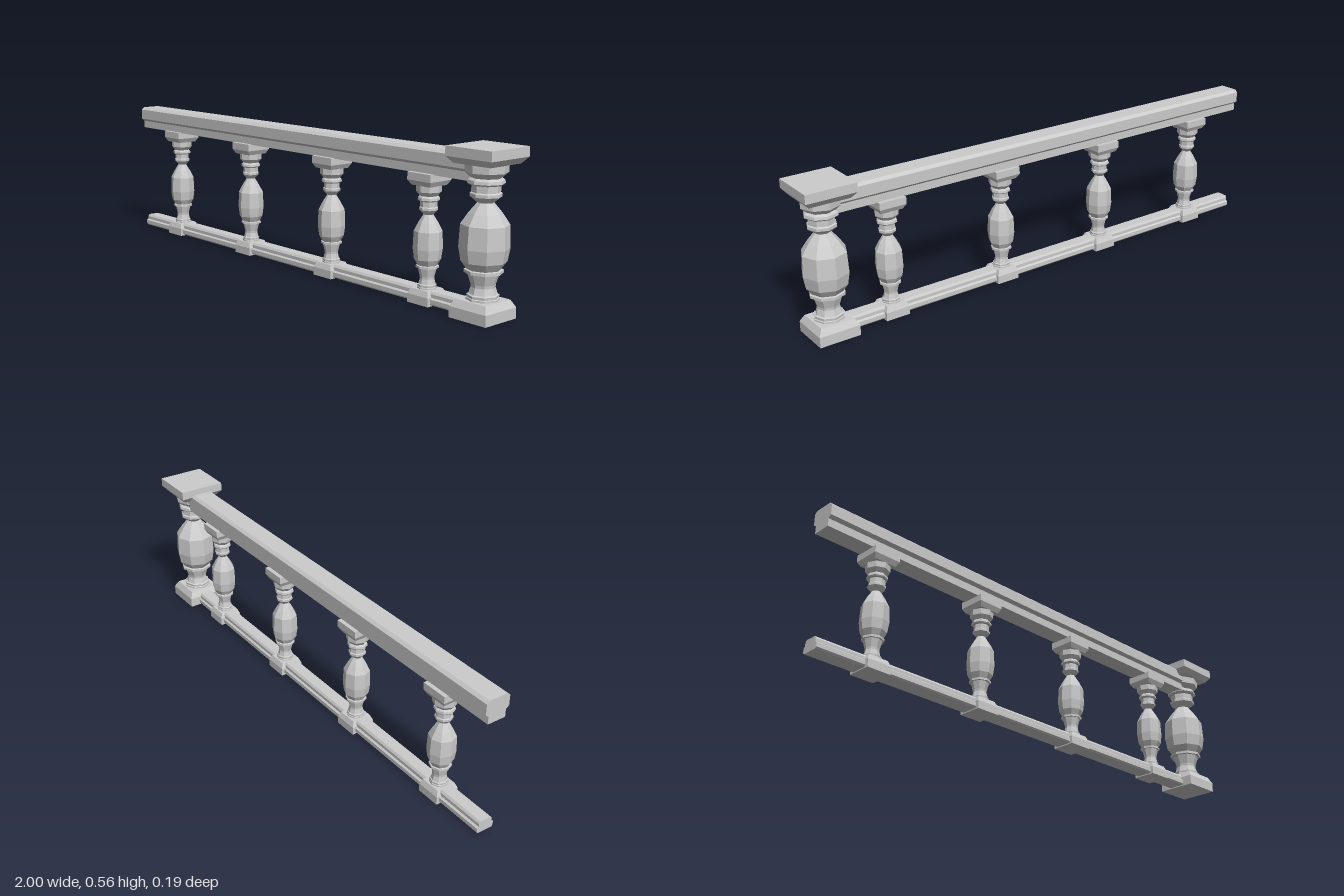
import * as THREE from 'three';

const material = new THREE.MeshStandardMaterial({ color: 0xcccccc, flatShading: true });

// [half-width, height] profiles of the end post; balusters reuse them scaled down
const basePoints = [[0, 0], [0.076, 0], [0.076, 0.038], [0.062, 0.063], [0, 0.063]];
const shaftPoints = [
  [0.055, 0.062], [0.055, 0.069], [0.052, 0.071], [0.053, 0.08], [0.047, 0.083], // foot rings
  [0.04, 0.105], [0.041, 0.115], [0.053, 0.152], // waist
  [0.064, 0.152], [0.064, 0.162], [0.056, 0.164], // collar
  [0.075, 0.19], [0.083, 0.235], [0.079, 0.31], [0.055, 0.346], [0.027, 0.38], // belly
  [0.052, 0.4], [0.052, 0.41], [0.047, 0.414], [0.047, 0.436], // neck
  [0.056, 0.438], [0.061, 0.443], [0.059, 0.453], [0.05, 0.46], // upper ring
  [0.07, 0.478], [0.071, 0.507], // capital
];
const capPoints = [[0, 0.505], [0.075, 0.505], [0.093, 0.527], [0.093, 0.56], [0, 0.56]];

function lathe(name, points, sides) {
  const square = sides === 4;
  const k = square ? Math.SQRT2 : 1;
  const profile = points.map(([r, y]) => new THREE.Vector2(r * k, y));
  const geometry = new THREE.LatheGeometry(profile, sides, square ? Math.PI / 4 : 0);
  const mesh = new THREE.Mesh(geometry, material);
  mesh.name = name;
  return mesh;
}

// Square base and cap around an eight-sided turned shaft
function createPillar(name, x, width, height, capWidth) {
  const pillar = new THREE.Group();
  pillar.name = name;
  const cap = lathe('cap', capPoints, 4);
  cap.scale.set(capWidth, 1, capWidth);
  pillar.add(lathe('base', basePoints, 4), lathe('shaft', shaftPoints, 8), cap);
  pillar.scale.set(width, height, width);
  pillar.position.x = x;
  return pillar;
}

// Mirrored moulding section extruded along x
function createRail(name, half, xStart, xEnd) {
  const right = half.map(([z, y]) => new THREE.Vector2(z, y));
  const left = half.map(([z, y]) => new THREE.Vector2(-z, y)).reverse();
  const geometry = new THREE.ExtrudeGeometry(new THREE.Shape([...right, ...left]), {
    depth: xEnd - xStart, bevelEnabled: false,
  });
  geometry.rotateY(Math.PI / 2).translate(xStart, 0, 0);
  const mesh = new THREE.Mesh(geometry, material);
  mesh.name = name;
  return mesh;
}

export function createModel() {
  const model = new THREE.Group();
  model.name = 'balustrade';

  model.add(createPillar('endPost', 0.907, 1, 1, 1));
  for (let i = 0; i < 4; i++) {
    model.add(createPillar('baluster' + (i + 1), -0.765 + i * 0.477, 0.61, 0.8, 0.91));
  }

  model.add(createRail('handrail', [
    [0.036, 0.446], [0.036, 0.475], [0.048, 0.485], [0.048, 0.525], [0.037, 0.535],
  ], -1, 0.907));
  model.add(createRail('bottomRail', [
    [0.03, 0.004], [0.035, 0.01], [0.035, 0.025], [0.028, 0.03], [0.028, 0.042], [0.022, 0.05],
  ], -1, 0.907));

  return model;
}
